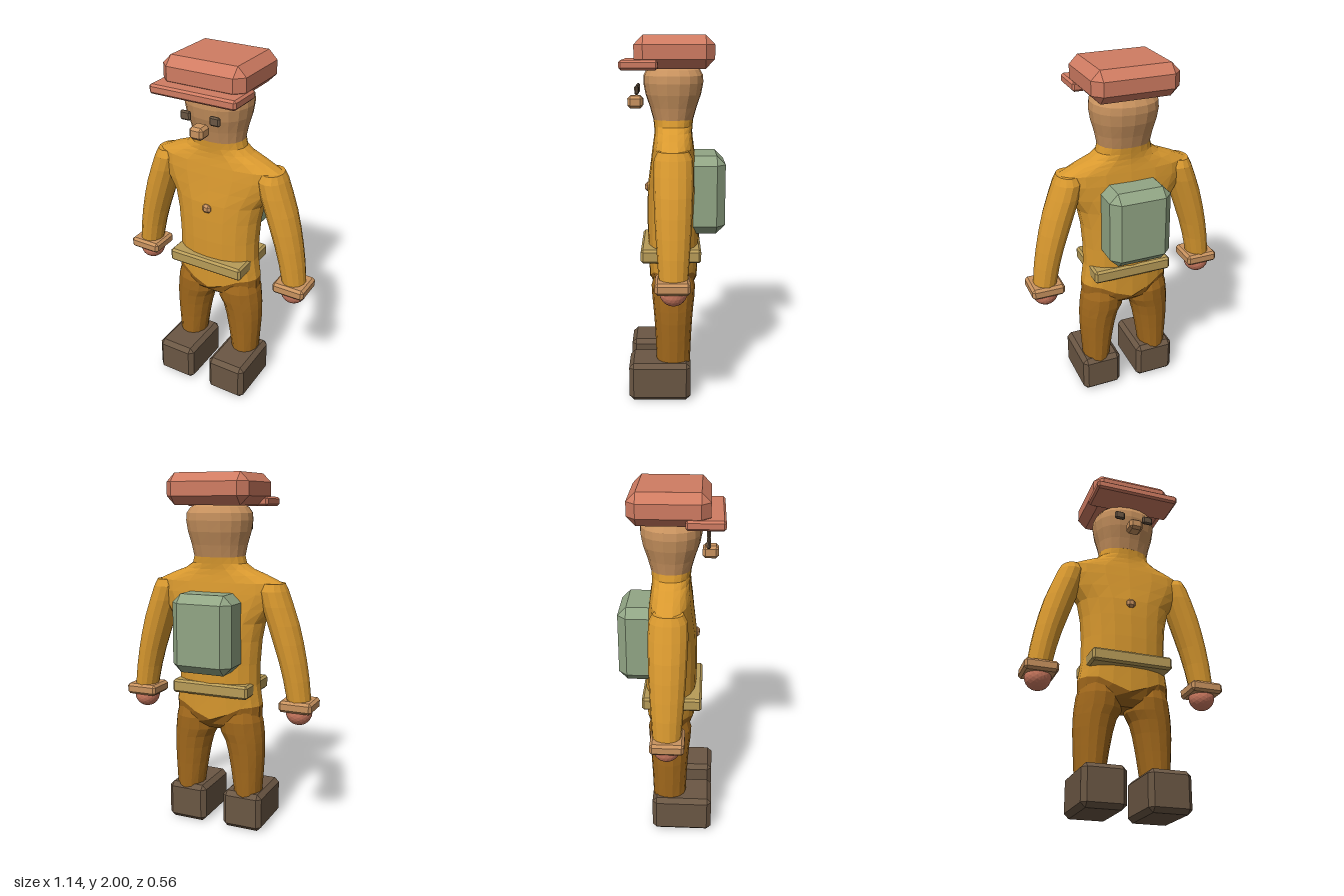
import * as THREE from 'three';
import { ConvexGeometry } from 'three/addons/geometries/ConvexGeometry.js';

const mat = (name, color) => {
  const m = new THREE.MeshStandardMaterial({ color });
  m.name = name;
  return m;
};

// Faceted normals
function facet(geo) {
  const g = geo.index ? geo.toNonIndexed() : geo;
  g.computeVertexNormals();
  return g;
}

// Box with cut edges, given by its extents
function chamferBox(x0, x1, y0, y1, z0, z1, c) {
  const h = [(x1 - x0) / 2, (y1 - y0) / 2, (z1 - z0) / 2];
  const points = [];
  for (const sx of [-1, 1]) for (const sy of [-1, 1]) for (const sz of [-1, 1]) {
    for (let k = 0; k < 3; k++) {
      const d = h.map((v, i) => (i === k ? v : v - c));
      points.push(new THREE.Vector3(
        (x0 + x1) / 2 + sx * d[0], (y0 + y1) / 2 + sy * d[1], (z0 + z1) / 2 + sz * d[2]));
    }
  }
  return new ConvexGeometry(points);
}

// Closed loft through level rings [y, centreX, radiusX, radiusZ], bottom to top.
// y may be a function of the angle; a power below 1 squares the rings off.
function loft(rings, power = 1, n = 18) {
  const pos = [], index = [];
  const bend = v => Math.sign(v) * Math.abs(v) ** power;
  const level = (y, a) => (typeof y === 'function' ? y(a) : y);
  for (const [y, cx, rx, rz] of rings) {
    for (let j = 0; j < n; j++) {
      const a = (j / n) * Math.PI * 2 + Math.PI / 2;
      pos.push(cx + rx * bend(Math.cos(a)), level(y, a), rz * bend(Math.sin(a)));
    }
  }
  const last = rings.length - 1;
  for (let i = 0; i < last; i++) for (let j = 0; j < n; j++) {
    const a = i * n + j, b = i * n + (j + 1) % n;
    index.push(a, a + n, b, b, a + n, b + n);
  }
  const low = pos.length / 3, high = low + 1;
  pos.push(rings[0][1], level(rings[0][0], 0), 0);
  pos.push(rings[last][1], level(rings[last][0], 0), 0);
  for (let j = 0; j < n; j++) {
    const k = (j + 1) % n;
    index.push(low, j, k, high, last * n + k, last * n + j);
  }
  const g = new THREE.BufferGeometry();
  g.setAttribute('position', new THREE.Float32BufferAttribute(pos, 3));
  g.setIndex(index);
  return facet(g);
}

export function createModel() {
  const model = new THREE.Group();
  model.name = 'walker';
  const shirt = mat('ochre shirt', 0xd9992f);
  const cloth = mat('brown trousers', 0xa2691c);
  const skin = mat('tan skin', 0xc9935f);
  const red = mat('coral', 0xd07c62);
  const dark = mat('dark leather', 0x6b5744);
  const green = mat('sage green', 0x92a685);
  const brass = mat('khaki belt', 0xb89c58);
  const add = (name, geo, material) => {
    const m = new THREE.Mesh(geo, material);
    m.name = name;
    model.add(m);
    return m;
  };

  // Shirt and trousers meet on a hem that dips at the middle
  const hem = a => 0.73 - 0.08 * Math.abs(Math.sin(a)) ** 10;
  add('torso', loft([
    [hem, 0, 0.258, 0.135], [0.78, 0, 0.25, 0.139], [0.85, 0, 0.24, 0.143],
    [0.97, 0, 0.24, 0.146], [1.1, 0, 0.25, 0.145], [1.2, 0, 0.27, 0.141],
    [1.28, 0, 0.325, 0.13], [1.36, 0, 0.37, 0.12], [1.42, 0, 0.37, 0.112],
    [1.46, 0, 0.28, 0.106], [1.49, 0, 0.2, 0.104], [1.52, 0, 0.156, 0.106],
    [1.56, 0, 0.145, 0.11],
  ], 0.9), shirt);
  add('pelvis', loft([
    [0.585, 0, 0.2, 0.07], [0.62, 0, 0.255, 0.11], [hem, 0, 0.258, 0.135],
  ], 0.9), cloth);

  // Head
  add('head', loft([
    [1.555, 0, 0.145, 0.11], [1.62, 0, 0.157, 0.128], [1.69, 0, 0.176, 0.152],
    [1.75, 0, 0.185, 0.163], [1.79, 0, 0.181, 0.162], [1.82, 0, 0.16, 0.145],
    [1.84, 0, 0.12, 0.11],
  ], 0.9), skin);
  add('nose', chamferBox(-0.04, 0.04, 1.613, 1.68, 0.165, 0.25, 0.015), skin);

  // Cap
  add('capCrown', chamferBox(-0.237, 0.237, 1.83, 2, -0.215, 0.205, 0.048), red);
  add('capVisor', chamferBox(-0.246, 0.246, 1.824, 1.875, 0.08, 0.28, 0.011), red);

  // Belt, button and backpack
  add('belt', chamferBox(-0.227, 0.227, 0.79, 0.865, -0.152, 0.178, 0.012), brass);
  add('button', chamferBox(-0.025, 0.025, 1.15, 1.2, 0.115, 0.158, 0.013), skin);
  add('backpack', chamferBox(-0.174, 0.174, 0.935, 1.367, -0.284, -0.06, 0.048), green);

  for (const s of [-1, 1]) {
    const side = s > 0 ? 'left' : 'right';
    const box = (x0, x1, ...rest) =>
      s > 0 ? chamferBox(x0, x1, ...rest) : chamferBox(-x1, -x0, ...rest);
    const limb = rings => loft(rings.map(([y, cx, rx, rz]) => [y, s * cx, rx, rz]), 1, 14);

    add(side + 'Eye', box(0.055, 0.115, 1.69, 1.74, 0.185, 0.207, 0.008), dark);

    // Sleeve, cuff and hand
    add(side + 'Sleeve', limb([
      [0.77, 0.478, 0.066, 0.075], [0.9, 0.457, 0.072, 0.084], [1.0, 0.435, 0.077, 0.091],
      [1.1, 0.408, 0.083, 0.097], [1.2, 0.378, 0.087, 0.101], [1.3, 0.344, 0.086, 0.104],
      [1.38, 0.32, 0.08, 0.1], [1.42, 0.32, 0.06, 0.08],
    ]), shirt);
    add(side + 'Cuff', box(0.383, 0.57, 0.727, 0.79, -0.086, 0.094, 0.014), skin);
    const hand = add(side + 'Hand', facet(new THREE.IcosahedronGeometry(0.073, 3)), red);
    hand.position.set(s * 0.478, 0.718, 0);

    // Trouser leg and boot
    add(side + 'Leg', limb([
      [0.2, 0.182, 0.079, 0.094], [0.35, 0.175, 0.096, 0.1], [0.45, 0.168, 0.108, 0.106],
      [0.52, 0.158, 0.117, 0.112], [0.57, 0.142, 0.13, 0.118], [0.64, 0.135, 0.128, 0.122],
      [0.7, 0.135, 0.11, 0.105],
    ]), cloth);
    add(side + 'Boot', box(0.055, 0.29, 0, 0.22, -0.097, 0.247, 0.025), dark);
  }
  return model;
}
